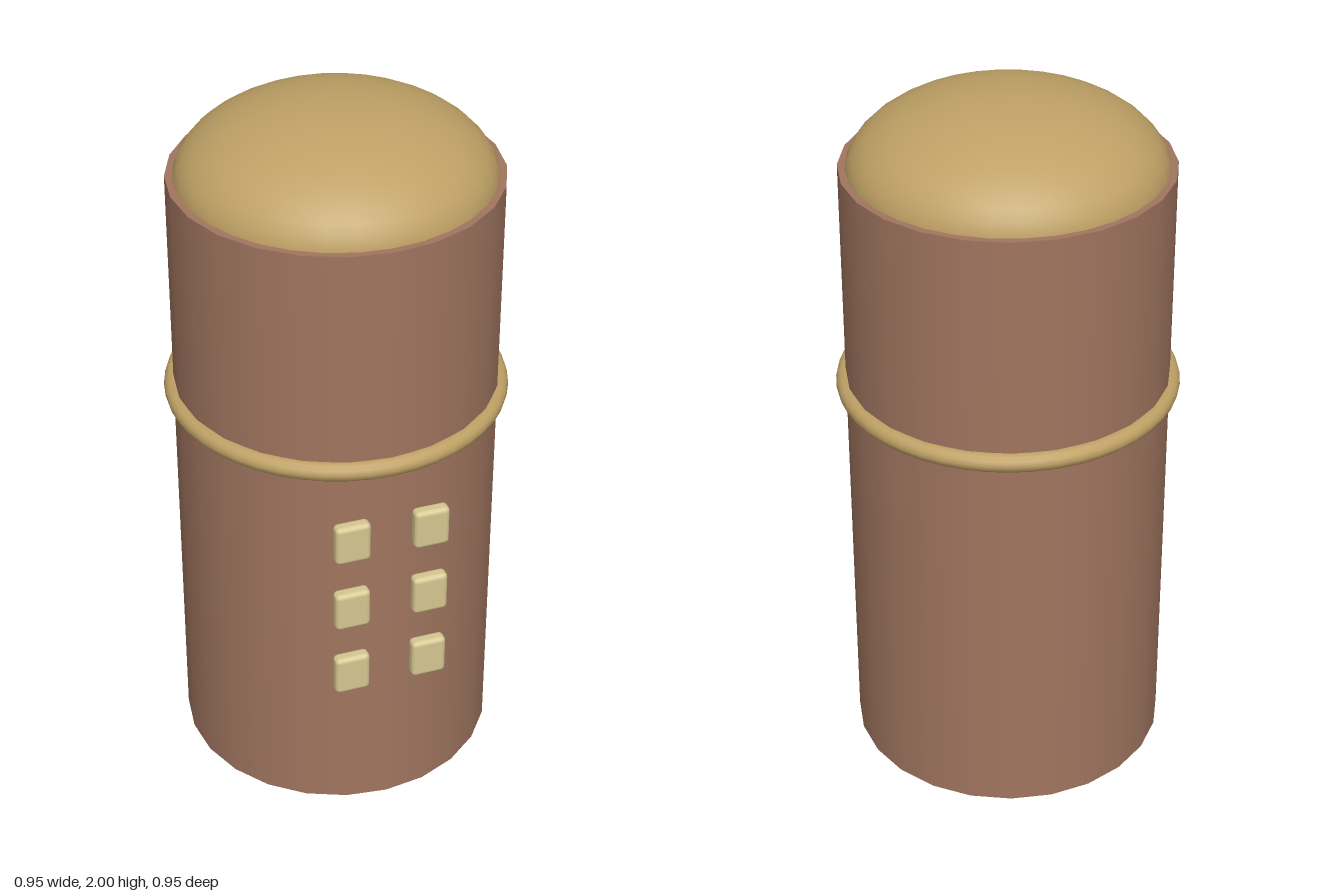
import * as THREE from 'three';
import { RoundedBoxGeometry } from 'three/addons/geometries/RoundedBoxGeometry.js';

function material(name, color) {
  const m = new THREE.MeshStandardMaterial({ color });
  m.name = name;
  return m;
}

export function createModel() {
  const group = new THREE.Group();
  group.name = 'cappedCylinder';
  const brown = material('brown', 0xa0755f);
  const gold = material('gold', 0xbfa165);
  const cream = material('cream', 0xd6c791);

  function add(name, geometry, mat, x, y, z) {
    const mesh = new THREE.Mesh(geometry, mat);
    mesh.name = name;
    mesh.position.set(x, y, z);
    group.add(mesh);
    return mesh;
  }

  // Main body
  add('body', new THREE.CylinderGeometry(0.45, 0.45, 1.805, 24), brown, 0, 0.9025, 0);

  // Flattened dome lid, its rim sunk slightly into the body
  const dome = new THREE.SphereGeometry(0.432, 32, 12, 0, Math.PI * 2, 0, Math.PI / 2);
  dome.scale(1, 0.5, 1);
  add('dome', dome, gold, 0, 1.784, 0);

  // Ring around the body
  const ring = new THREE.TorusGeometry(0.45, 0.027, 12, 48);
  ring.rotateX(-Math.PI / 2);
  add('ring', ring, gold, 0, 1.158, 0);

  // Two columns of rounded buttons on the front
  const button = new RoundedBoxGeometry(0.1, 0.12, 0.04, 3, 0.014);
  for (const y of [0.94, 0.715, 0.49]) {
    for (const side of [-1, 1]) add('button', button, cream, side * 0.112, y, 0.457);
  }

  return group;
}
